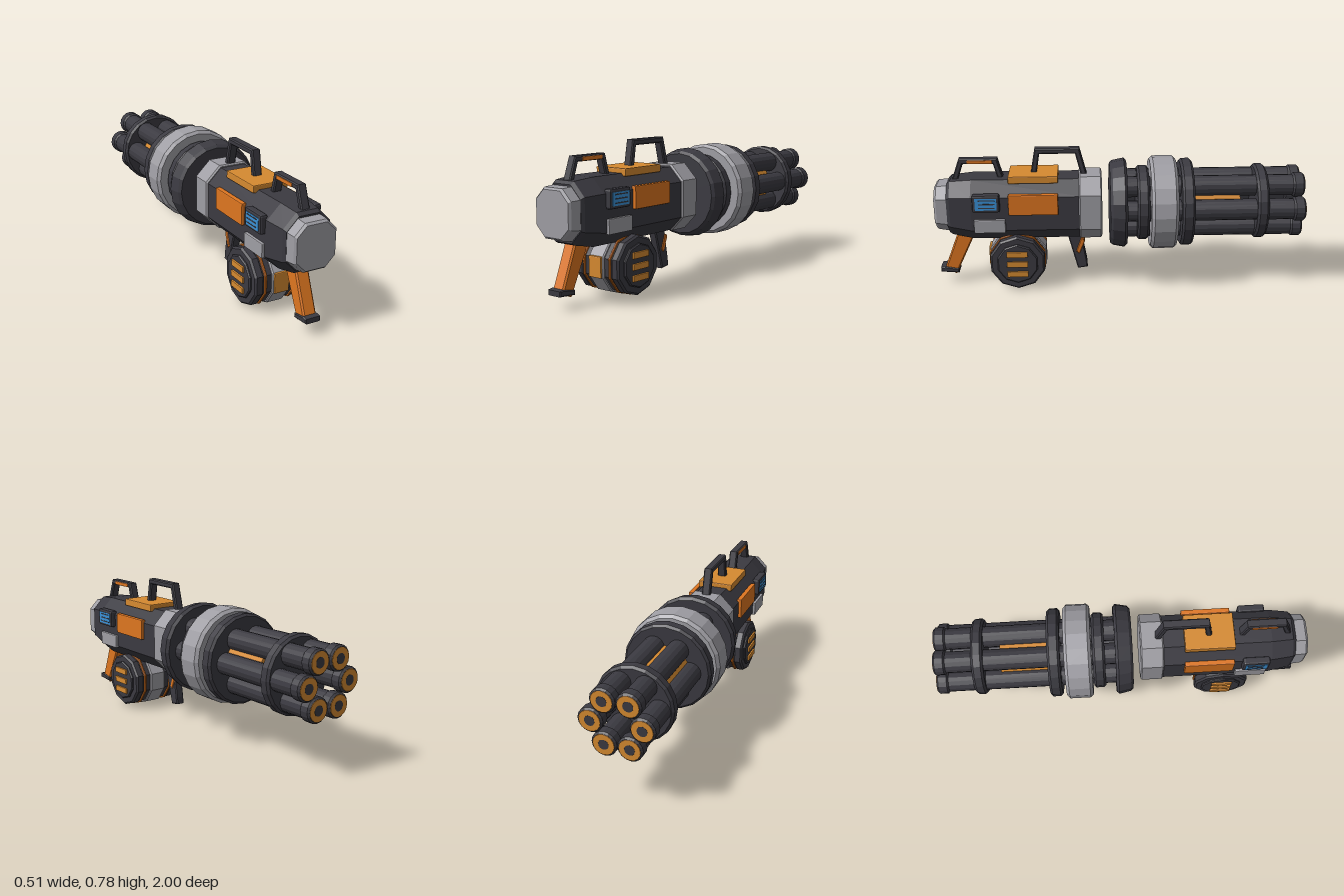
import * as THREE from 'three';
import { RoundedBoxGeometry } from 'three/addons/geometries/RoundedBoxGeometry.js';

const AXIS_Y = 0.458;

function material(name, color) {
  const m = new THREE.MeshStandardMaterial({ color });
  m.name = name;
  return m;
}

// Faceted normals without touching the material
function flat(geo) {
  const g = geo.index ? geo.toNonIndexed() : geo;
  g.computeVertexNormals();
  return g;
}

// Solid of revolution along z from [radius, z] pairs, z ascending
function turned(points, sides) {
  const g = new THREE.LatheGeometry(points.map(p => new THREE.Vector2(p[0], p[1])), sides);
  return flat(g.rotateX(Math.PI / 2));
}

// Closed disc with chamfered rims; r0 at z0, r1 at z1
function disc(r0, r1, z0, z1, sides, b = 0.012) {
  return turned([[0, z0], [r0 - b, z0], [r0, z0 + b], [r1, z1 - b], [r1 - b, z1], [0, z1]], sides);
}

// Side outline of [z, y] pairs extruded across x
function profile(points, width, bevel = 0.006) {
  const s = new THREE.Shape(points.map(p => new THREE.Vector2(p[0], p[1])));
  const depth = width - 2 * bevel;
  const g = new THREE.ExtrudeGeometry(s, {
    depth, bevelEnabled: bevel > 0, bevelThickness: bevel, bevelSize: bevel, bevelOffset: -bevel, bevelSegments: 1,
  });
  return flat(g.translate(0, 0, -depth / 2).rotateY(-Math.PI / 2));
}

// Loft of chamfered rectangles, stations [z, halfWidth, yBottom, yTop, chamfer]
function octLoft(stations) {
  const pos = [], idx = [];
  stations.forEach(([z, w, b, t, c]) => {
    [[w, b + c], [w, t - c], [w - c, t], [c - w, t], [-w, t - c], [-w, b + c], [c - w, b], [w - c, b]]
      .forEach(p => pos.push(p[0], p[1], z));
  });
  const last = (stations.length - 1) * 8;
  for (let k = 0; k < last; k += 8) {
    for (let i = 0; i < 8; i++) {
      const j = (i + 1) % 8;
      idx.push(k + i, k + j, k + 8 + j, k + i, k + 8 + j, k + 8 + i);
    }
  }
  for (let i = 1; i < 7; i++) idx.push(0, i + 1, i, last, last + i, last + i + 1);
  const g = new THREE.BufferGeometry();
  g.setAttribute('position', new THREE.Float32BufferAttribute(pos, 3));
  g.setIndex(idx);
  return flat(g);
}

// Box given by its limits, with small chamfers
function block(x0, x1, y0, y1, z0, z1, r = 0.005) {
  const g = r ? new RoundedBoxGeometry(x1 - x0, y1 - y0, z1 - z0, 1, r)
    : new THREE.BoxGeometry(x1 - x0, y1 - y0, z1 - z0);
  return flat(g.translate((x0 + x1) / 2, (y0 + y1) / 2, (z0 + z1) / 2));
}

export function createModel() {
  const dark = material('charcoal', 0x3b3a41);
  const grey = material('grey', 0x9f9ea4);
  const orange = material('orange', 0xde7620);
  const amber = material('amber', 0xd68a30);
  const blue = material('blue', 0x3a92d8);

  const model = new THREE.Group();
  function add(name, geo, mat, parent = model) {
    const m = new THREE.Mesh(geo, mat);
    m.name = name;
    parent.add(m);
    return m;
  }
  function group(name, parent = model) {
    const g = new THREE.Group();
    g.name = name;
    parent.add(g);
    return g;
  }

  // Receiver
  const receiver = group('receiver');
  add('body', octLoft([
    [0.2, 0.145, 0.287, 0.625, 0.075], [0.8, 0.145, 0.287, 0.625, 0.075],
    [0.915, 0.13, 0.31, 0.615, 0.07], [0.932, 0.12, 0.32, 0.6, 0.065],
  ]), dark, receiver);
  add('collar', octLoft([
    [0.098, 0.148, 0.29, 0.63, 0.078], [0.105, 0.155, 0.283, 0.637, 0.08],
    [0.215, 0.155, 0.283, 0.637, 0.08], [0.222, 0.148, 0.29, 0.63, 0.078],
  ]), grey, receiver);
  add('endCap', octLoft([
    [0.925, 0.119, 0.332, 0.592, 0.058], [0.988, 0.116, 0.342, 0.588, 0.056], [1, 0.107, 0.352, 0.578, 0.052],
  ]), grey, receiver);

  // Panels and screens on both sides
  for (const s of [1, -1]) {
    const side = group(s > 0 ? 'leftPanels' : 'rightPanels', receiver);
    const plate = (name, x0, x1, y0, y1, z0, z1, mat, r) =>
      add(name, block(Math.min(s * x0, s * x1), Math.max(s * x0, s * x1), y0, y1, z0, z1, r), mat, side);
    plate('sidePanel', 0.135, 0.163, 0.453, 0.568, 0.333, 0.598, orange);
    plate('lowerPanel', 0.13, 0.16, 0.352, 0.428, 0.617, 0.785, grey);
    plate('screenFrame', 0.13, 0.173, 0.475, 0.573, 0.643, 0.788, dark, 0.01);
    plate('screen', 0.17, 0.175, 0.49, 0.556, 0.658, 0.773, blue, 0);
    for (const y of [0.503, 0.524, 0.545]) plate('screenLine', 0.174, 0.1765, y - 0.003, y + 0.003, 0.668, 0.755, dark, 0);
  }
  add('topPlate', block(-0.1, 0.1, 0.61, 0.65, 0.333, 0.6), amber, receiver);

  // Carrying handles
  add('frontHandle', profile([
    [0.485, 0.62], [0.457, 0.78], [0.217, 0.78], [0.175, 0.62],
    [0.208, 0.62], [0.24, 0.75], [0.432, 0.75], [0.452, 0.62],
  ], 0.048), dark);
  add('rearHandle', profile([
    [0.91, 0.6], [0.865, 0.727], [0.66, 0.727], [0.625, 0.6],
    [0.655, 0.6], [0.682, 0.698], [0.845, 0.698], [0.878, 0.6],
  ], 0.048), dark);
  add('rearHandlePad', block(-0.028, 0.028, 0.7, 0.72, 0.685, 0.82, 0.003), orange);

  // Rear grip
  add('grip', profile([[0.885, 0.33], [0.978, 0.09], [0.915, 0.056], [0.79, 0.32]], 0.074, 0.008), orange);
  add('gripFoot', profile([[1, 0.1], [1, 0.073], [0.9, 0.066], [0.9, 0.09], [0.975, 0.104]], 0.086, 0.005), dark);

  // Front grip and trigger bar
  add('frontGrip', profile([[0.295, 0.3], [0.235, 0.072], [0.18, 0.08], [0.183, 0.12], [0.215, 0.3]], 0.05), dark);
  add('triggerBar', profile([[0.215, 0.26], [0.243, 0.178], [0.225, 0.163], [0.194, 0.238], [0.198, 0.255]], 0.058, 0.004), orange);

  // Ammunition drum, ten-sided, lying across x
  const drum = group('drum');
  drum.position.set(0, 0.165, 0.563);
  const across = g => g.rotateY(Math.PI / 2).rotateX(Math.PI);
  const drumDisc = (name, r, x0, x1, mat, b) => add(name, across(disc(r, r, x0, x1, 10, b)), mat, drum);
  drumDisc('drumCore', 0.15, -0.1, 0.1, dark, 0.004);
  drumDisc('drumBand', 0.162, -0.05, 0.05, grey, 0.006);
  for (const s of [1, -1]) {
    const part = (name, r, a, b, mat, bevel) =>
      drumDisc(name, r, Math.min(s * a, s * b), Math.max(s * a, s * b), mat, bevel);
    part('drumSeam', 0.159, 0.08, 0.093, orange, 0.003);
    part('drumShell', 0.155, 0.093, 0.145, dark, 0.01);
    part('drumCover', 0.114, 0.13, 0.157, dark, 0.006);
    for (const y of [-0.058, 0, 0.058]) {
      add('drumBar', block(s > 0 ? 0.15 : -0.167, s > 0 ? 0.167 : -0.15, y - 0.016, y + 0.016, -0.057, 0.057, 0.003), amber, drum);
    }
  }
  add('drumLatch', block(-0.042, 0.042, -0.055, 0.055, 0.12, 0.163), amber, drum);

  // Rotor: discs and rings around the firing axis
  const rotor = group('rotor');
  rotor.position.y = AXIS_Y;
  add('rearDisc', disc(0.247, 0.234, -0.037, 0.055, 20, 0.014), dark, rotor);
  add('innerDisc', disc(0.205, 0.205, -0.157, -0.092, 20), dark, rotor);
  add('mainRing', disc(0.257, 0.257, -0.307, -0.163, 20, 0.016), grey, rotor);
  add('frontDisc', disc(0.241, 0.241, -0.395, -0.328, 20), dark, rotor);
  add('barrelBrace', disc(0.206, 0.206, -0.797, -0.735, 20), dark, rotor);

  // Six barrels with muzzles, and light strips in between
  const barrel = disc(0.057, 0.057, -0.97, 0, 16, 0.004);
  const muzzle = disc(0.066, 0.066, -0.998, -0.935, 16, 0.009);
  const face = disc(0.056, 0.056, -0.9995, -0.99, 16, 0.001);
  const bore = disc(0.027, 0.027, -1, -0.99, 16, 0.0002);
  const strip = block(0.105, 0.127, -0.011, 0.011, -0.65, -0.39, 0);
  for (let i = 0; i < 6; i++) {
    const a = i * Math.PI / 3;
    const unit = group('barrelUnit', rotor);
    unit.position.set(0.133 * Math.cos(a), 0.133 * Math.sin(a), 0);
    add('barrel', barrel, dark, unit);
    add('muzzle', muzzle, dark, unit);
    add('muzzleFace', face, amber, unit);
    add('bore', bore, dark, unit);
    add('lightStrip', strip, amber, rotor).rotation.z = a + Math.PI / 6;
  }
  return model;
}
